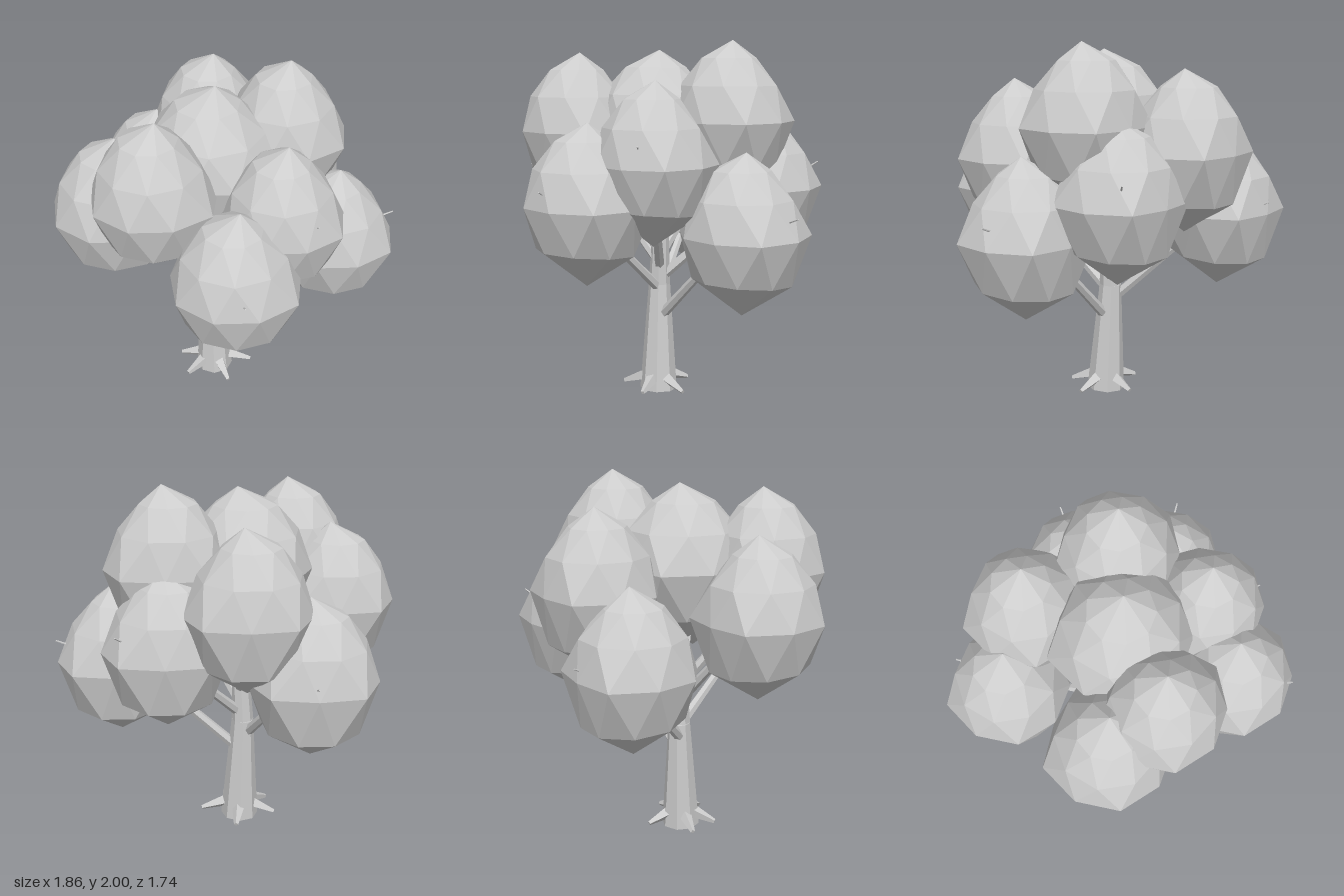
import * as THREE from 'three';

const grey = new THREE.MeshStandardMaterial({ color: 0xcccccc, flatShading: true });
grey.name = 'plain grey';

// Foliage rings from bottom to top: radius, height, sideways shift, forward tilt
const RINGS = [
  [0, -0.43, 0, 0],
  [0.265, -0.245, 0, 0.08],
  [0.34, 0, 0, 0],
  [0.27, 0.19, -0.01, 0],
  [0.155, 0.335, -0.015, 0],
  [0, 0.43, 0.02, 0],
];
// Uneven outline of the widest ring
const OUTLINE = [0.325, 0.355, 0.34, 0.36, 0.312, 0.362, 0.34, 0.345, 0.33];

// Faceted nine-sided foliage clump, each ring turned half a step from the one below
function makeClumpGeometry() {
  const sides = OUTLINE.length, rows = RINGS.length;
  const geo = new THREE.LatheGeometry(RINGS.map(([r, y]) => new THREE.Vector2(r, y)), sides);
  const pos = geo.attributes.position;
  for (let i = 0; i <= sides; i++) {
    RINGS.forEach(([radius, y, shift, tilt], j) => {
      const angle = THREE.MathUtils.degToRad(21 + 40 * i + 20 * (j - 2));
      const r = j === 2 ? OUTLINE[i % sides] : radius;
      const z = Math.cos(angle) * r;
      pos.setXYZ(i * rows + j, Math.sin(angle) * r + shift, y + z * tilt, z);
    });
  }
  geo.computeVertexNormals();
  return geo;
}

// Tapered limb between two points
function limb(a, b, ra, rb, sides) {
  const from = new THREE.Vector3(...a), to = new THREE.Vector3(...b);
  const dir = to.clone().sub(from);
  const mesh = new THREE.Mesh(new THREE.CylinderGeometry(rb, ra, dir.length(), sides), grey);
  mesh.position.copy(from).add(to).multiplyScalar(0.5);
  mesh.quaternion.setFromUnitVectors(new THREE.Vector3(0, 1, 0), dir.normalize());
  return mesh;
}

export function createModel() {
  const tree = new THREE.Group();
  tree.name = 'tree';
  const add = (name, mesh) => { mesh.name = name; tree.add(mesh); };

  // Trunk: main stem and thin leader
  add('trunk', limb([-0.08, 0, -0.03], [-0.095, 0.62, -0.05], 0.107, 0.062, 8));
  add('trunkTop', limb([-0.095, 0.62, -0.05], [-0.06, 1.4, -0.04], 0.062, 0.025, 8));

  // Roots
  [0, 68, 140, 195, 275].forEach((deg, i) => {
    const a = deg * Math.PI / 180, c = Math.cos(a), s = Math.sin(a);
    add('root' + (i + 1), limb([-0.08 + c * 0.05, 0.085, -0.03 + s * 0.05],
      [-0.075 + c * 0.215, 0.03, -0.03 + s * 0.2], 0.042, 0.013, 4));
  });

  // Branches: start, bend inside the foliage, thin tip
  const branches = [
    [[-0.05, 0.45, -0.04], [0.45, 0.92, -0.06], [0.93, 1.12, -0.1]],
    [[-0.12, 0.54, -0.06], [-0.32, 0.94, -0.45], [-0.43, 1.15, -0.87]],
    [[-0.08, 0.6, -0.03], [-0.02, 0.98, 0.4], [0.09, 1.25, 0.87]],
    [[-0.08, 0.74, -0.04], [-0.45, 1.15, 0.06], [-0.84, 1.4, 0.19]],
    [[-0.08, 0.66, -0.05], [0.24, 1.05, -0.35], [0.55, 1.34, -0.66]],
    [[-0.08, 0.72, -0.04], [0.2, 1.15, 0.22], [0.45, 1.48, 0.53]],
    [[-0.08, 0.82, -0.04], [-0.28, 1.25, 0.25], [-0.38, 1.55, 0.35]],
    [[-0.08, 0.8, -0.05], [-0.1, 1.2, -0.42], [-0.1, 1.45, -0.57]],
    [[-0.08, 0.9, -0.04], [0.22, 1.35, -0.15], [0.34, 1.6, -0.21]],
  ];
  branches.forEach(([start, bend, tip], i) => {
    add('branch' + (i + 1), limb(start, bend, 0.03, 0.02, 6));
    add('branchTip' + (i + 1), limb(bend, tip, 0.02, 0.004, 5));
  });

  // Foliage: centre and width
  const clumps = [
    ['frontFoliage', 0.045, 1.15, 0.555, 1],
    ['leftFoliage', 0.59, 1.0, -0.05, 1],
    ['rightFoliage', -0.595, 1.295, 0.11, 1],
    ['backRightFoliage', -0.43, 1.08, -0.55, 1],
    ['backFoliage', -0.1, 1.43, -0.555, 0.98],
    ['centreFoliage', -0.085, 1.52, -0.025, 1.12],
    ['upperLeftFoliage', 0.31, 1.57, -0.21, 0.98],
    ['backLeftFoliage', 0.31, 1.2, -0.435, 0.99],
    ['upperRightFoliage', -0.37, 1.505, 0.31, 0.97],
    ['upperFrontFoliage', 0.285, 1.365, 0.3, 0.95],
  ];
  const clumpGeometry = makeClumpGeometry();
  clumps.forEach(([name, x, y, z, width]) => {
    const mesh = new THREE.Mesh(clumpGeometry, grey);
    mesh.position.set(x, y, z);
    mesh.scale.set(width, 1, width);
    add(name, mesh);
  });

  return tree;
}
